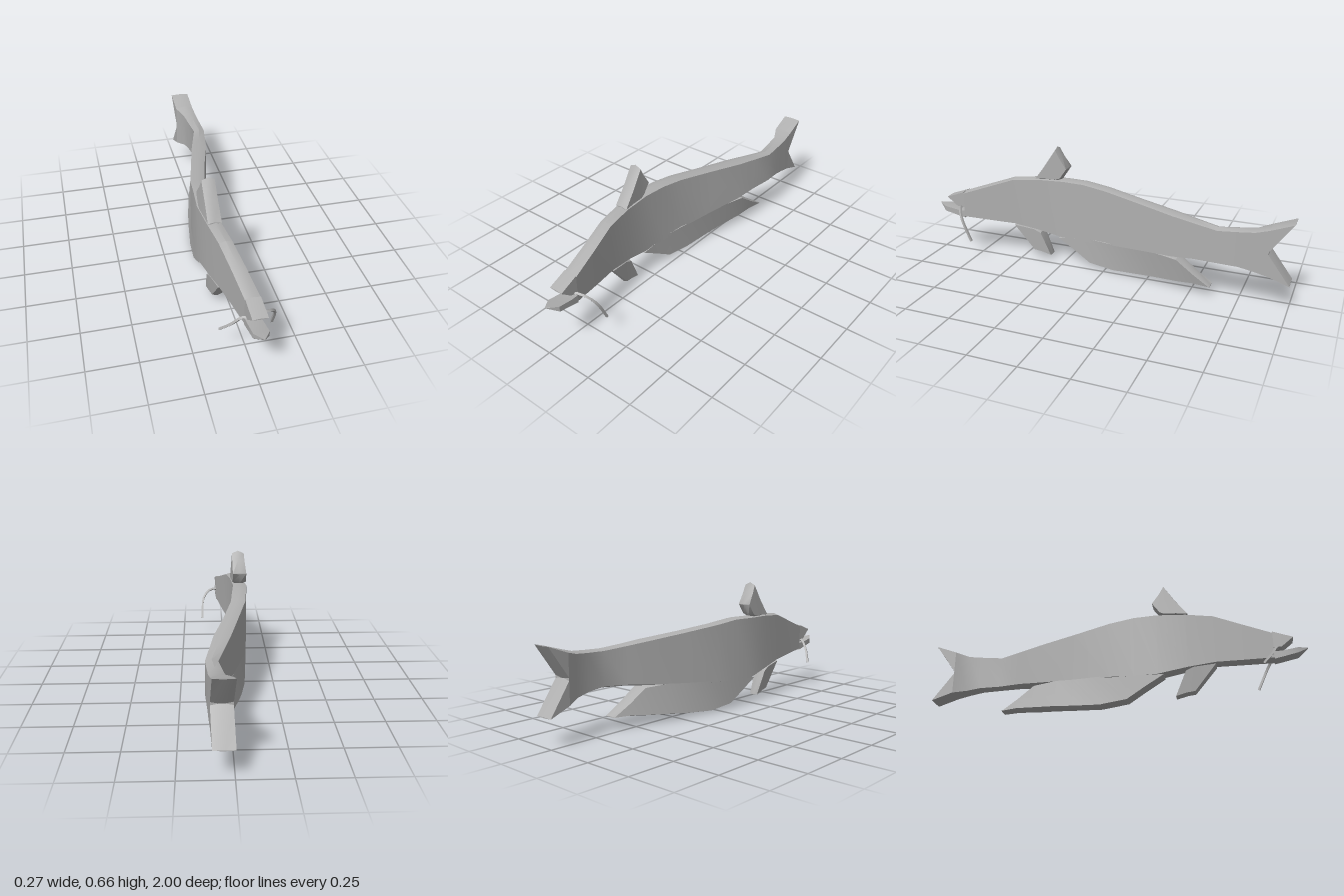
import * as THREE from 'three';
import { toCreasedNormals } from 'three/addons/utils/BufferGeometryUtils.js';

// Swimming bend of the fish: [z, centre x, half width]
const BEND = [
  [1, 0.013, 0.037], [0.93, 0.012, 0.037], [0.8, 0.003, 0.036], [0.54, -0.045, 0.033],
  [0.4, -0.066, 0.034], [0.25, -0.079, 0.037], [0, -0.058, 0.038], [-0.2, -0.012, 0.038],
  [-0.4, 0.038, 0.042], [-0.64, 0.091, 0.03], [-0.82, 0.073, 0.036], [-0.9, 0.05, 0.052],
  [-1, 0.046, 0.05],
];

function bendAt(z) {
  let i = 0;
  while (i < BEND.length - 2 && z < BEND[i + 1][0]) i++;
  const [a, b] = [BEND[i], BEND[i + 1]];
  const t = (a[0] - z) / (a[0] - b[0]);
  return [a[1] + (b[1] - a[1]) * t, a[2] + (b[2] - a[2]) * t];
}

// Six-sided slab along the bend, listed from front to back.
// Station: [z, top, bottom, top shift, bottom shift, top width, bottom width]
function slab(stations, ridge = 0.01) {
  const rings = stations.map(([z, top, bottom, sT = 0, sB = 0, wT = 1, wB = 1]) => {
    const [c, h] = bendAt(z);
    const d = Math.min(ridge, (top - bottom) / 2);
    return [
      [c + sT - h * wT, top - d, z], [c + sT, top, z], [c + sT + h * wT, top - d, z],
      [c + sB + h * wB, bottom + d, z], [c + sB, bottom, z], [c + sB - h * wB, bottom + d, z],
    ];
  });
  const pos = [];
  const tri = (a, b, c) => pos.push(...a, ...b, ...c);
  for (let i = 0; i < rings.length - 1; i++) {
    const [r, s] = [rings[i], rings[i + 1]];
    for (let k = 0; k < 6; k++) {
      const n = (k + 1) % 6;
      tri(r[k], r[n], s[n]);
      tri(r[k], s[n], s[k]);
    }
  }
  const [first, last] = [rings[0], rings[rings.length - 1]];
  for (let k = 1; k < 5; k++) {
    tri(first[0], first[k + 1], first[k]);
    tri(last[0], last[k], last[k + 1]);
  }
  const geo = new THREE.BufferGeometry();
  geo.setAttribute('position', new THREE.Float32BufferAttribute(pos, 3));
  return toCreasedNormals(geo, 0.6);
}

export function createModel() {
  const fish = new THREE.Group();
  fish.name = 'fish';
  const grey = new THREE.MeshStandardMaterial({ color: 0xb0b0b0, side: THREE.DoubleSide });
  grey.name = 'grey skin';
  const add = (name, geo) => {
    const mesh = new THREE.Mesh(geo, grey);
    mesh.name = name;
    fish.add(mesh);
  };

  // Trunk from the back of the mouth to the fork of the tail
  add('body', slab([
    [0.83, 0.372, 0.215], [0.68, 0.424, 0.205], [0.54, 0.472, 0.195], [0.4, 0.484, 0.17],
    [0.25, 0.487, 0.138], [0.13, 0.488, 0.14], [0, 0.473, 0.15], [-0.2, 0.449, 0.168],
    [-0.4, 0.427, 0.188], [-0.52, 0.413, 0.203], [-0.64, 0.4, 0.21], [-0.75, 0.407, 0.204],
    [-0.82, 0.413, 0.19], [-0.89, 0.432, 0.172],
  ]));

  // Open mouth
  add('upperJaw', slab([[0.93, 0.337, 0.33], [0.87, 0.358, 0.28], [0.83, 0.372, 0.278]], 0.003));
  add('lowerJaw', slab([
    [1, 0.285, 0.277, 0, 0, 0.08, 0.08], [0.95, 0.277, 0.243], [0.87, 0.263, 0.224],
    [0.83, 0.262, 0.215],
  ], 0.003));

  // Forked tail
  add('upperTailLobe', slab([[-0.89, 0.432, 0.3], [-1, 0.465, 0.46]]));
  add('lowerTailLobe', slab([[-0.89, 0.305, 0.172], [-1, 0.145, 0.14]]));

  // Fins
  add('dorsalFin', slab([
    [0.41, 0.487, 0.475], [0.35, 0.575, 0.47, 0.004, 0, 0.93], [0.29, 0.665, 0.47, 0.006, 0, 0.9],
    [0.268, 0.622, 0.48, 0.005, 0, 0.93], [0.23, 0.553, 0.545],
  ], 0.015));
  add('pelvicFin', slab([
    [0.54, 0.2, 0.192], [0.43, 0.19, 0.045, 0, 0.005, 1, 0.75],
    [0.39, 0.17, 0.038, 0, 0.005, 1, 0.75], [0.335, 0.035, 0.028, 0.005, 0.005, 0.7, 0.7],
  ]));
  add('analFin', slab([
    [0.28, 0.15, 0.14], [0.18, 0.17, 0.075], [0.09, 0.18, 0.02], [-0.05, 0.18, 0.005, 0, -0.008],
    [-0.2, 0.19, 0.018, 0, -0.02], [-0.3, 0.2, 0.03, 0, -0.025], [-0.43, 0.195, 0.044, 0, -0.025],
    [-0.52, 0.131, 0.055, -0.012, -0.025], [-0.61, 0.068, 0.063, -0.022, -0.025],
  ]));

  // Barbels at the corners of the mouth
  const barbels = {
    leftBarbel: [[0.03, 0.28, 0.85], [0.075, 0.282, 0.835], [0.12, 0.24, 0.8], [0.13, 0.12, 0.742]],
    rightBarbel: [[-0.015, 0.278, 0.85], [-0.045, 0.272, 0.84], [-0.085, 0.225, 0.82], [-0.13, 0.16, 0.775]],
  };
  for (const [name, points] of Object.entries(barbels)) {
    const path = new THREE.CatmullRomCurve3(points.map((p) => new THREE.Vector3(...p)));
    add(name, toCreasedNormals(new THREE.TubeGeometry(path, 8, 0.008, 4), 0.6));
  }
  return fish;
}
